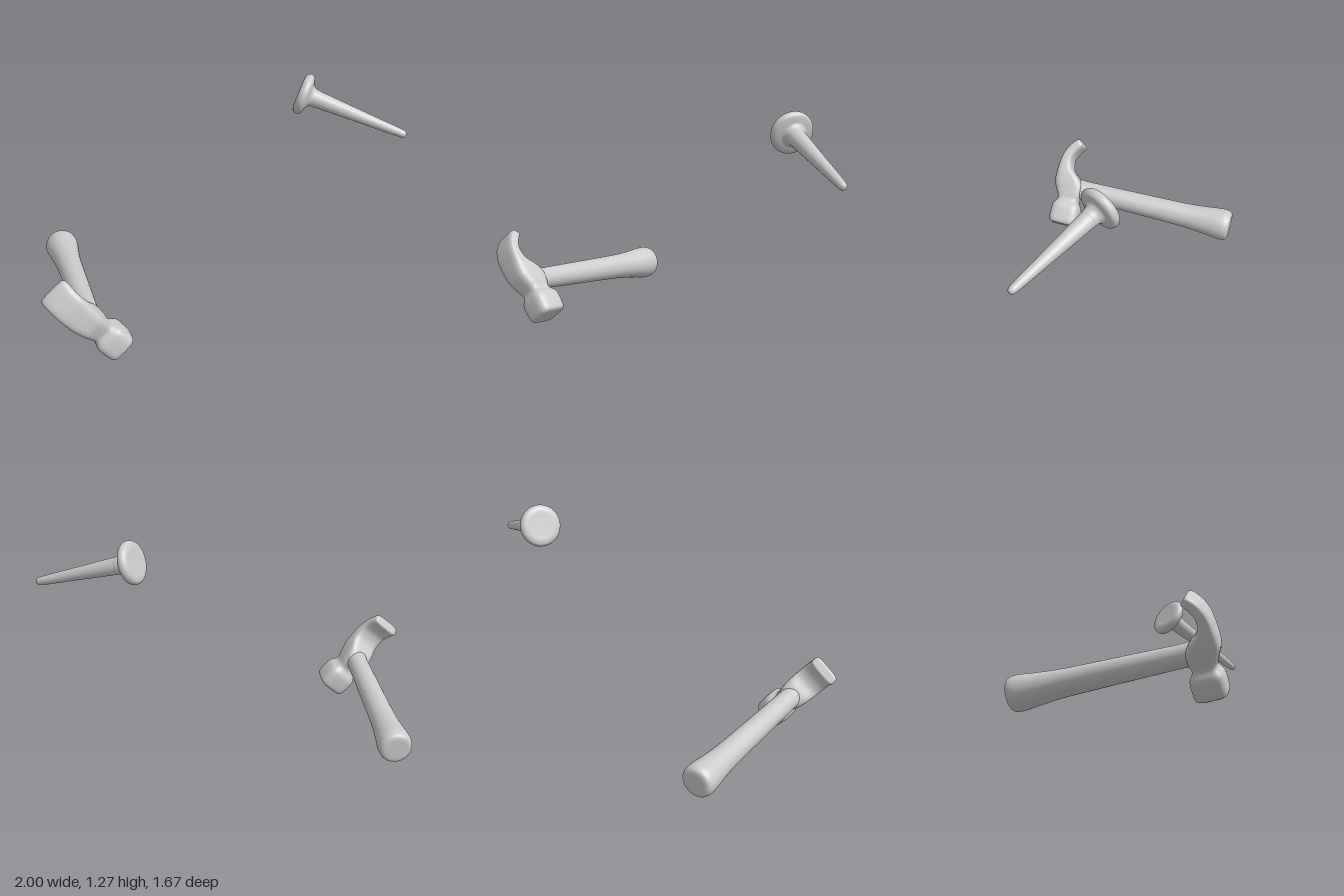
import * as THREE from 'three';

const material = new THREE.MeshStandardMaterial({ color: 0xcccccc });

function namedMesh(name, geometry) {
  const mesh = new THREE.Mesh(geometry, material);
  mesh.name = name;
  return mesh;
}

// Smooth revolved body; the hard points of the profile are softened by a spline
function turned(points, steps, segments = 48) {
  const curve = new THREE.CatmullRomCurve3(points.map(([r, y]) => new THREE.Vector3(r, y, 0)), false, 'centripetal');
  const profile = curve.getPoints(steps).map(p => new THREE.Vector2(Math.max(p.x, 0), p.y));
  return new THREE.LatheGeometry(profile, segments);
}

// Rounded-square cross-sections lofted along y.
// Station: [y, x centre, half depth (x), half width (z), tilt towards +x]
function loft(stations, steps, segments, power) {
  const spine = new THREE.CatmullRomCurve3(
    stations.map(([y, x, , , tilt]) => new THREE.Vector3(x, y, tilt)), false, 'catmullrom', 0.5);
  const sizes = new THREE.CatmullRomCurve3(
    stations.map(([, , depth, width]) => new THREE.Vector3(depth, width, 0)), false, 'catmullrom', 0.5);

  const rings = [];
  for (let i = 0; i <= steps; i++) {
    rings.push({ c: spine.getPoint(i / steps), s: sizes.getPoint(i / steps) });
  }
  // Close both ends with shrinking rings
  for (const k of [0.6, 0]) {
    const first = rings[0], last = rings[rings.length - 1];
    rings.unshift({ c: first.c, s: first.s.clone().multiplyScalar(k) });
    rings.push({ c: last.c, s: last.s.clone().multiplyScalar(k) });
  }

  const soften = v => Math.sign(v) * Math.pow(Math.abs(v), 2 / power);
  const position = [], index = [];
  rings.forEach(({ c, s }, i) => {
    for (let j = 0; j < segments; j++) {
      const a = (j / segments) * Math.PI * 2;
      const d = s.x * soften(Math.cos(a));
      position.push(c.x + d * Math.cos(c.z), c.y - d * Math.sin(c.z), s.y * soften(Math.sin(a)));
      if (i === rings.length - 1) continue;
      const p = i * segments + j, q = i * segments + (j + 1) % segments;
      index.push(p, p + segments, q, q, p + segments, q + segments);
    }
  });
  const geometry = new THREE.BufferGeometry();
  geometry.setAttribute('position', new THREE.Float32BufferAttribute(position, 3));
  geometry.setIndex(index);
  geometry.computeVertexNormals();
  return geometry;
}

// Hammer: handle along local +x, claw up local +y, claw width along local z
function createHammer() {
  const hammer = new THREE.Group();
  hammer.name = 'hammer';

  const head = loft([
    [-0.243, -0.018, 0.068, 0.066, 0],
    [-0.232, -0.018, 0.084, 0.082, 0],
    [-0.200, -0.018, 0.090, 0.088, 0],
    [-0.130, -0.018, 0.088, 0.088, 0],
    [-0.085, -0.020, 0.066, 0.066, 0],
    [-0.040, -0.025, 0.080, 0.072, 0],
    [0.010, -0.036, 0.092, 0.080, 0],
    [0.060, -0.055, 0.078, 0.085, 0],
    [0.110, -0.082, 0.048, 0.086, 0],
    [0.175, -0.086, 0.036, 0.086, 0.15],
    [0.230, -0.066, 0.034, 0.087, 0.45],
    [0.268, -0.038, 0.033, 0.088, 0.75],
    [0.283, -0.022, 0.030, 0.084, 0.8],
    [0.288, -0.017, 0.022, 0.074, 0.8],
  ], 78, 48, 4);
  hammer.add(namedMesh('hammerHead', head));

  const handle = namedMesh('hammerHandle', turned([
    [0, -0.05], [0.04, -0.05], [0.058, -0.03], [0.061, 0.1], [0.066, 0.35], [0.071, 0.6],
    [0.076, 0.75], [0.087, 0.87], [0.095, 0.94], [0.095, 0.98],
    [0.086, 1.005], [0.072, 1.013], [0.03, 1.015], [0, 1.015],
  ], 70));
  handle.rotation.z = -Math.PI / 2;
  hammer.add(handle);

  const along = new THREE.Vector3(0.54, -0.092, -0.837).normalize();
  const up = new THREE.Vector3(0.657, 0.668, 0.35).cross(along).normalize();
  const side = along.clone().cross(up);
  hammer.quaternion.setFromRotationMatrix(new THREE.Matrix4().makeBasis(along, up, side));
  hammer.position.set(-0.768, 0.228, 0.059);
  return hammer;
}

// Nail: broad rounded head at the local origin, shank tapering along local +y
function createNail() {
  const nail = new THREE.Group();
  nail.name = 'nail';

  nail.add(namedMesh('nailHead', turned([
    [0, -0.03], [0.05, -0.03], [0.09, -0.03], [0.111, -0.021], [0.12, 0],
    [0.111, 0.021], [0.09, 0.03], [0.068, 0.036], [0.053, 0.055], [0.046, 0.09], [0, 0.095],
  ], 60)));
  nail.add(namedMesh('nailShank', turned([
    [0.053, 0.05], [0.049, 0.08], [0.045, 0.16], [0.034, 0.38], [0.024, 0.58],
    [0.021, 0.605], [0.013, 0.619], [0, 0.623],
  ], 50, 32)));

  const axis = new THREE.Vector3(0.441, -0.3, 0.846).normalize();
  nail.quaternion.setFromUnitVectors(new THREE.Vector3(0, 1, 0), axis);
  nail.position.set(0.71, 1.155, 0.312);
  return nail;
}

export function createModel() {
  const model = new THREE.Group();
  model.name = 'hammerAndNail';
  model.add(createHammer(), createNail());
  return model;
}
